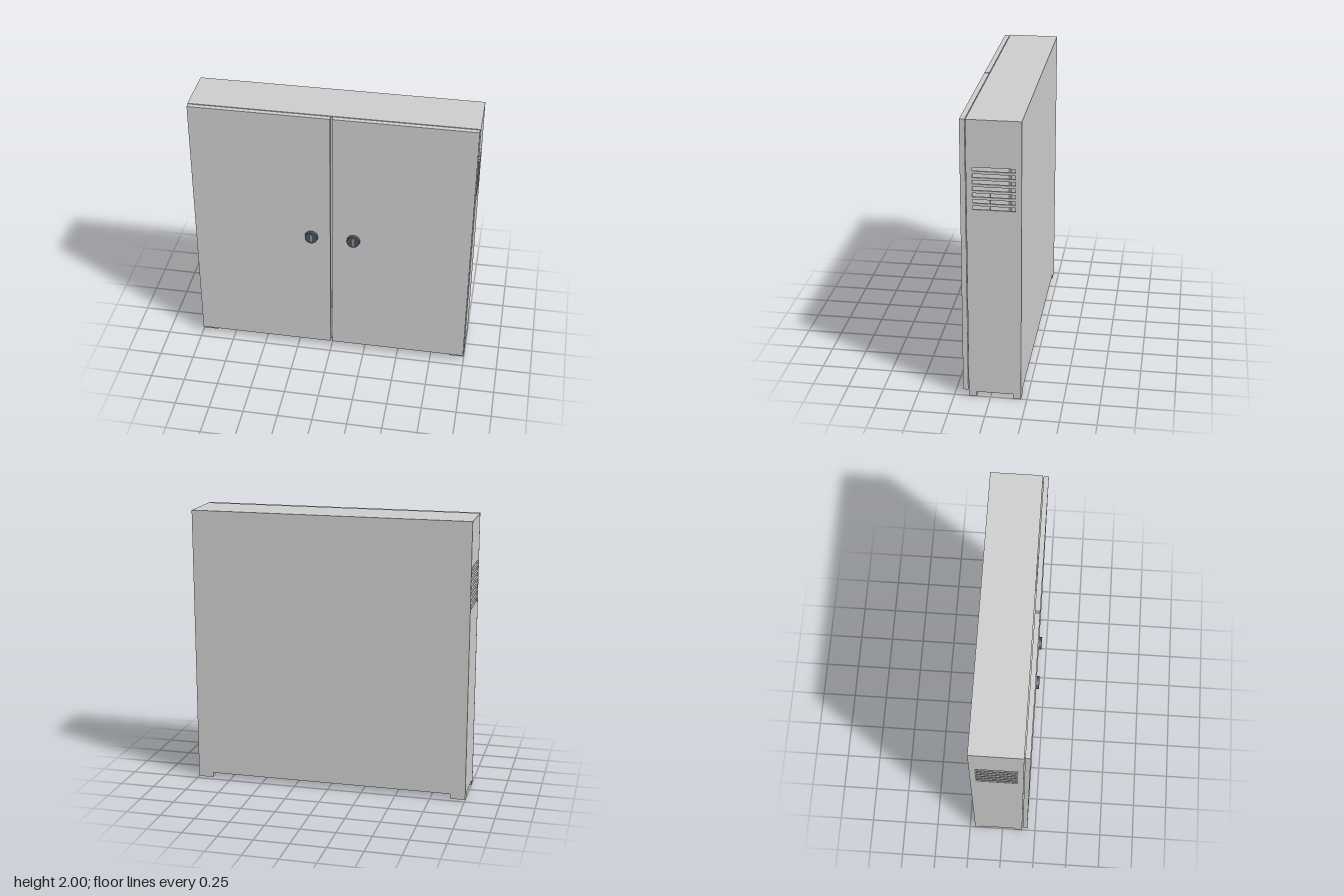
import * as THREE from 'three';

const grey = new THREE.MeshStandardMaterial({ color: 0xcccccc });
const dark = new THREE.MeshStandardMaterial({ color: 0x46525e });

export function createModel() {
  const cabinet = new THREE.Group();
  cabinet.name = 'cabinet';

  const add = (name, geometry, x, y, z, material = grey) => {
    const mesh = new THREE.Mesh(geometry, material);
    mesh.name = name;
    mesh.position.set(x, y, z);
    cabinet.add(mesh);
    return mesh;
  };
  // box given by its limits on each axis
  const box = (name, [x0, x1], [y0, y1], [z0, z1], material) =>
    add(name, new THREE.BoxGeometry(x1 - x0, y1 - y0, z1 - z0),
      (x0 + x1) / 2, (y0 + y1) / 2, (z0 + z1) / 2, material);

  const wall = 0.012, base = 0.035, back = -0.21, front = 0.15;

  // side wall outline (shape x is -z) with seven ventilation slots
  const rect = (path, x0, x1, y0, y1) =>
    path.moveTo(x0, y0).lineTo(x1, y0).lineTo(x1, y1).lineTo(x0, y1).closePath();
  const side = new THREE.Shape();
  rect(side, -front, -back, base, 2);
  for (let i = 0; i < 7; i++) {
    const y = 1.388 + i * 0.0443;
    const slot = new THREE.Path();
    rect(slot, -0.11, 0.17, y, y + 0.026);
    side.holes.push(slot);
  }
  const sideGeometry = new THREE.ExtrudeGeometry(side, { depth: wall, bevelEnabled: false });
  sideGeometry.rotateY(Math.PI / 2);
  add('leftSideWall', sideGeometry, 1 - wall, 0, 0);
  add('rightSideWall', sideGeometry, -1, 0, 0);

  // shell panels between the side walls
  const inner = [-1 + wall, 1 - wall];
  box('topPanel', inner, [2 - wall, 2], [back, front]);
  box('bottomPanel', inner, [base, base + wall], [back, front]);
  box('backPanel', inner, [base + wall, 2 - wall], [back, back + wall]);

  // corner feet
  for (const s of [-1, 1]) {
    const span = s < 0 ? [-1, -0.89] : [0.89, 1];
    box('frontFoot', span, [0, base], [0.095, front]);
    box('backFoot', span, [0, base], [back, -0.155]);
  }

  // doors
  box('rightDoor', [-0.995, -0.007], [0.043, 1.998], [0.155, 0.19]);
  box('leftDoor', [0.007, 0.995], [0.043, 1.998], [0.155, 0.19]);
  // hinge strips joining the doors to the shell
  box('rightHingeStrip', [-0.985, -0.96], [0.06, 1.98], [0.14, 0.156]);
  box('leftHingeStrip', [0.96, 0.985], [0.06, 1.98], [0.14, 0.156]);

  // round locks with an upright key bar
  const lock = new THREE.CylinderGeometry(0.045, 0.048, 0.024, 32).rotateX(Math.PI / 2);
  for (const x of [-0.143, 0.16]) {
    add('lock', lock, x, 1.008, 0.201, dark);
    box('lockKeyBar', [x - 0.004, x + 0.004], [0.98, 1.036], [0.205, 0.2145]);
  }

  return cabinet;
}
